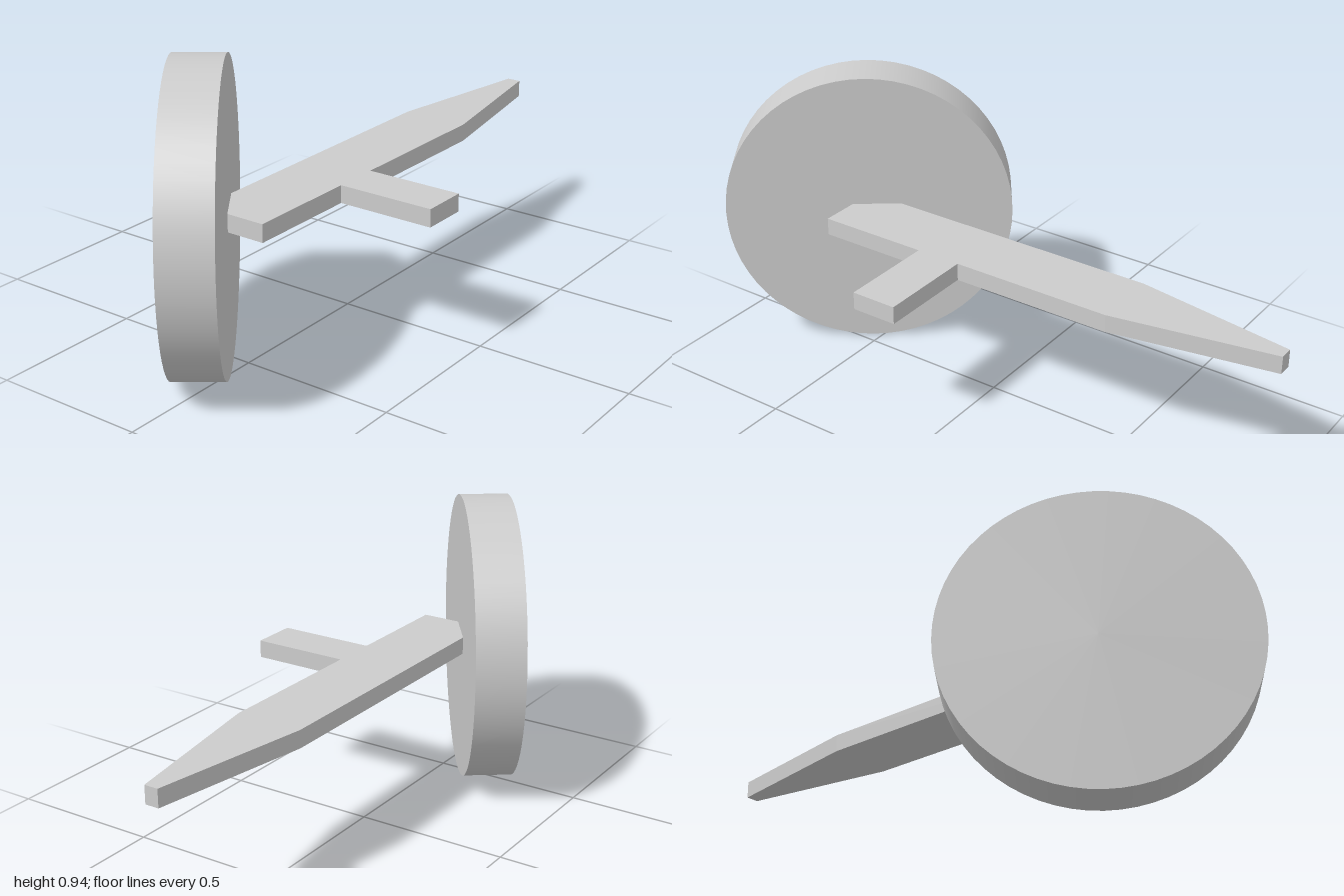
import * as THREE from 'three';

export function createModel() {
  const group = new THREE.Group();
  const material = new THREE.MeshStandardMaterial({ color: 0xcccccc });

  // Thick upright disc, its axis turned towards the front left
  const discGeometry = new THREE.CylinderGeometry(0.472, 0.472, 0.16, 64);
  discGeometry.rotateX(Math.PI / 2);
  const disc = new THREE.Mesh(discGeometry, material);
  disc.name = 'disc';
  disc.position.set(-0.574, 0.472, -0.102);
  disc.rotation.y = 0.631;
  group.add(disc);

  // Flat blade with a tapered tip and a short side grip, as one (x, z) outline
  const outline = [
    [-0.57, -0.1], [0.48, -0.1], [1, -0.015], [1, 0.03], [0.48, 0.122],
    [-0.05, 0.122], [-0.05, 0.44], [-0.2, 0.44], [-0.2, 0.122], [-0.57, 0.122],
  ];
  const shape = new THREE.Shape(outline.map(([x, z]) => new THREE.Vector2(x, z)));
  const bladeGeometry = new THREE.ExtrudeGeometry(shape, { depth: 0.057, bevelEnabled: false });
  bladeGeometry.rotateX(Math.PI / 2);
  const blade = new THREE.Mesh(bladeGeometry, material);
  blade.name = 'bladeWithGrip';
  blade.position.y = 0.502;
  group.add(blade);

  return group;
}
